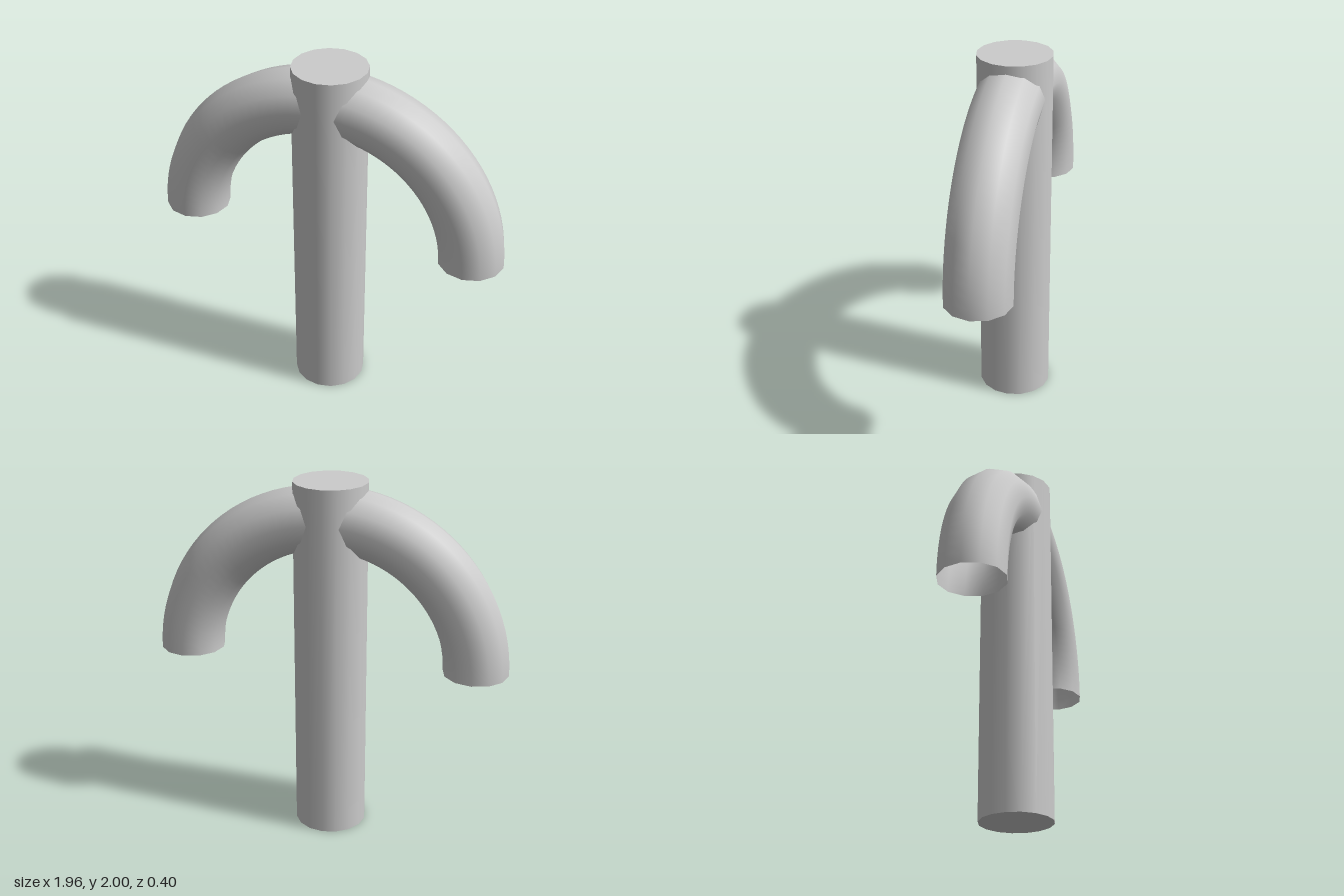
import * as THREE from 'three';

export function createModel() {
  const group = new THREE.Group();
  const postHeight = 2, archRadius = 0.8, tubeRadius = 0.178;

  // Upright post, closed at both ends
  const post = new THREE.Mesh(
    new THREE.CylinderGeometry(0.2, 0.2, postHeight, 16),
    new THREE.MeshStandardMaterial({ color: 0xcccccc })
  );
  post.name = 'post';
  post.position.y = postHeight / 2;
  group.add(post);

  // Half-ring arch through the top of the post, with open tube ends
  const arch = new THREE.Mesh(
    new THREE.TorusGeometry(archRadius, tubeRadius, 12, 48, Math.PI),
    new THREE.MeshStandardMaterial({ color: 0xcccccc, side: THREE.DoubleSide })
  );
  arch.name = 'archedArms';
  arch.position.y = 1;
  group.add(arch);

  return group;
}
